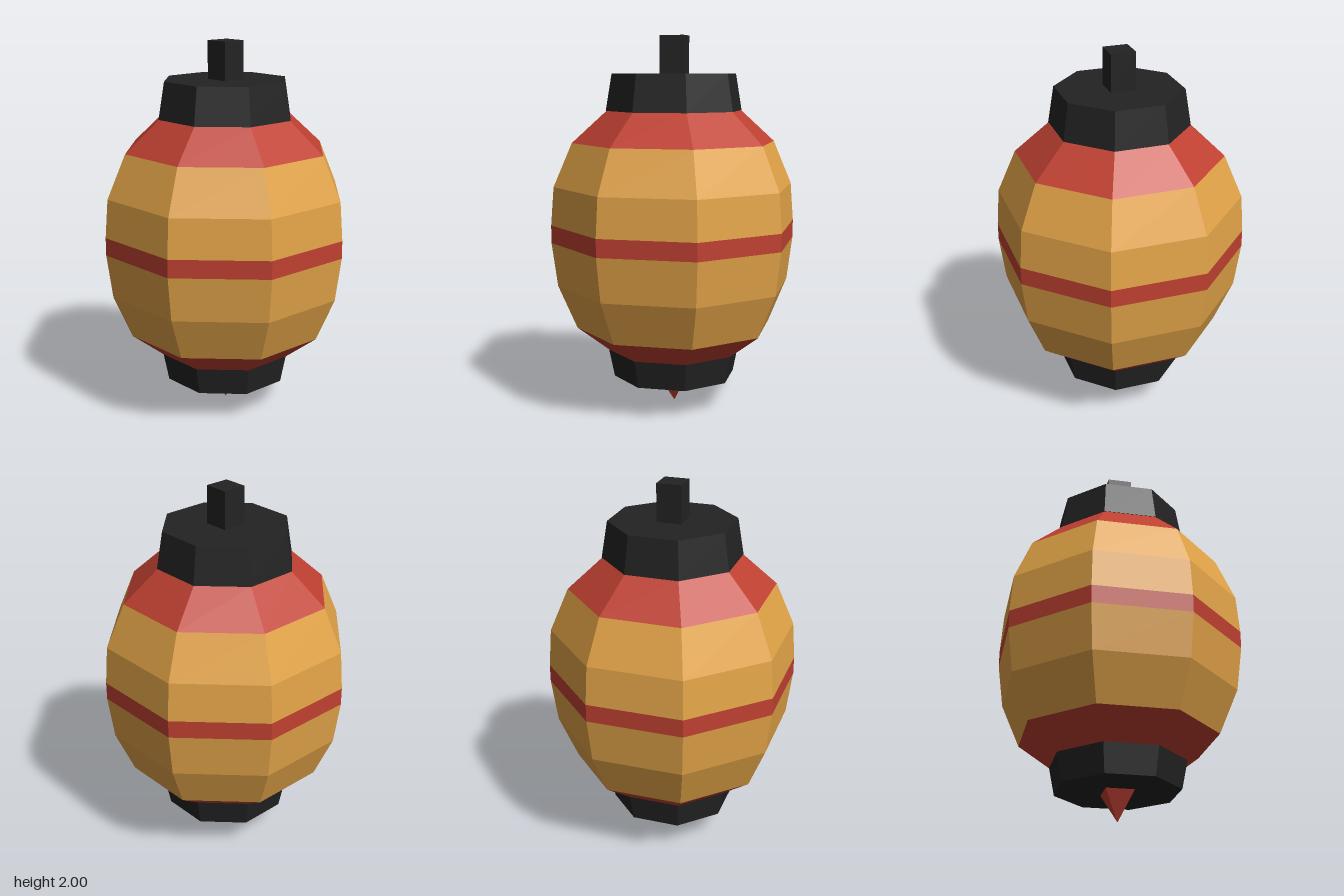
import * as THREE from 'three';

const paper = new THREE.MeshStandardMaterial({ color: 0xe3a448 });
const red = new THREE.MeshStandardMaterial({ color: 0xbf4031 });
const black = new THREE.MeshStandardMaterial({ color: 0x232323 });

export function createModel() {
  const group = new THREE.Group();

  // Faceted prism section between two heights; radii are measured to the flats
  function section(name, material, y0, r0, y1, r1, sides = 8, open = false) {
    const k = 1 / Math.cos(Math.PI / sides);
    const geometry = new THREE.CylinderGeometry(r1 * k, r0 * k, y1 - y0, sides, 1, open)
      .rotateY(Math.PI / sides)
      .translate(0, (y0 + y1) / 2, 0)
      .toNonIndexed();
    geometry.computeVertexNormals(); // one normal per facet
    const mesh = new THREE.Mesh(geometry, material);
    mesh.name = name;
    group.add(mesh);
  }

  // Lantern body: [height, radius] rings, with the band starting at each ring
  const rings = [
    [0.305, 0.335, 'lowerShoulder', red],
    [0.435, 0.493, 'lowerPaper', paper],
    [0.67, 0.586, 'lowerMiddlePaper', paper],
    [0.905, 0.615, 'middleStripe', red],
    [1.0, 0.615, 'upperMiddlePaper', paper],
    [1.205, 0.6, 'upperPaper', paper],
    [1.437, 0.508, 'upperShoulder', red],
    [1.605, 0.337],
  ];
  for (let i = 0; i < rings.length - 1; i++) {
    const [y0, r0, name, material] = rings[i];
    const [y1, r1] = rings[i + 1];
    section(name, material, y0, r0, y1, r1, 8, true);
  }

  // End caps
  section('bottomCap', black, 0.155, 0.307, 0.305, 0.335);
  section('topCap', black, 1.605, 0.34, 1.8, 0.31);

  // Square hanging post and pointed tassel
  section('hangingPost', black, 1.78, 0.066, 2.0, 0.066, 4);
  section('tassel', red, 0, 0, 0.16, 0.077, 4);

  return group;
}
